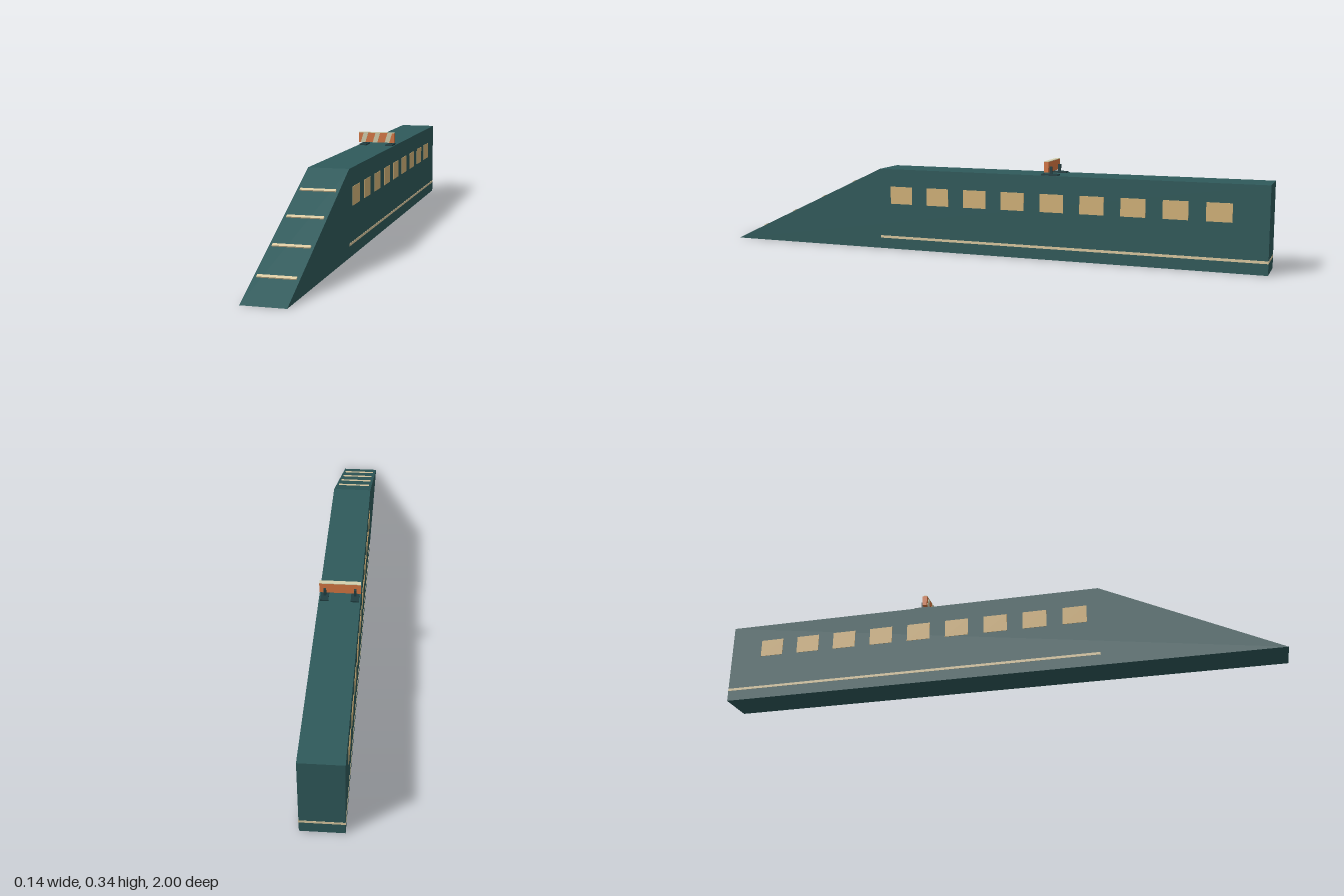
import * as THREE from 'three';

const mat = (name, color) => {
  const m = new THREE.MeshStandardMaterial({ color });
  m.name = name;
  return m;
};

export function createModel() {
  const green = mat('deep green', 0x2f5a5b);
  const dark = mat('dark green', 0x213f42);
  const amber = mat('window amber', 0xd4b47a);
  const trim = mat('trim cream', 0xddcba2);
  const orange = mat('barrier orange', 0xd87843);
  const pale = mat('barrier cream', 0xd4d0ae);

  const W = 0.069, H = 0.293, RAMP = 0.385;
  const root = new THREE.Group();
  root.name = 'rampCar';

  const box = (name, material, size, pos, parent = root) => {
    const m = new THREE.Mesh(new THREE.BoxGeometry(...size), material);
    m.name = name;
    m.position.set(...pos);
    parent.add(m);
    return m;
  };

  // Body: side outline (z, y) extruded across the width
  const side = new THREE.Shape([[1, 0], [RAMP, H], [-1, H], [-1, 0]].map(p => new THREE.Vector2(...p)));
  const bodyGeo = new THREE.ExtrudeGeometry(side, { depth: 2 * W, bevelEnabled: false });
  bodyGeo.translate(0, 0, -W);
  bodyGeo.rotateY(-Math.PI / 2);
  const body = new THREE.Mesh(bodyGeo, green);
  body.name = 'body';
  root.add(body);

  // Windows and lower trim line on both sides
  for (const s of [-1, 1]) {
    for (let i = 0; i < 9; i++)
      box('window', amber, [0.003, 0.063, 0.085], [s * W, 0.198, 0.3 - i * 0.1425]);
    box('sideTrim', trim, [0.002, 0.009, RAMP + 1], [s * W, 0.043, (RAMP - 1) / 2]);
  }
  box('rearTrim', trim, [2 * W, 0.009, 0.002], [0, 0.043, -0.9995]);

  // Treads lying across the ramp
  const slope = Math.atan2(H, 1 - RAMP);
  for (let i = 0; i < 4; i++) {
    const z = 0.5 + i * 0.129;
    const y = (1 - z) * H / (1 - RAMP);
    const tread = box('tread', trim, [0.118, 0.006, 0.011], [0, y + 0.001, z]);
    tread.rotation.x = slope;
  }

  // Striped barrier on the roof
  const barrier = new THREE.Group();
  barrier.name = 'barrier';
  barrier.position.set(0, H, -0.25);
  root.add(barrier);
  box('board', orange, [2 * W, 0.036, 0.016], [0, 0.029, 0], barrier);
  box('boardCap', pale, [2 * W, 0.002, 0.016], [0, 0.048, 0], barrier);

  // Slanted stripes on the board's front
  const stripe = new THREE.Shape([[-0.0145, 0.011], [0.0035, 0.011], [0.0145, 0.047], [-0.0035, 0.047]]
    .map(p => new THREE.Vector2(...p)));
  for (let i = -1; i <= 1; i++) {
    const m = new THREE.Mesh(new THREE.ExtrudeGeometry(stripe, { depth: 0.001, bevelEnabled: false }), pale);
    m.name = 'boardStripe';
    m.position.set(i * 0.0465, 0, 0.008);
    barrier.add(m);
  }

  // Feet and posts
  for (const s of [-1, 1]) {
    box('foot', dark, [0.027, 0.006, 0.06], [s * 0.0505, 0.002, -0.01], barrier);
    box('post', dark, [0.009, 0.027, 0.009], [s * 0.0505, 0.0165, -0.012], barrier);
  }
  return root;
}
